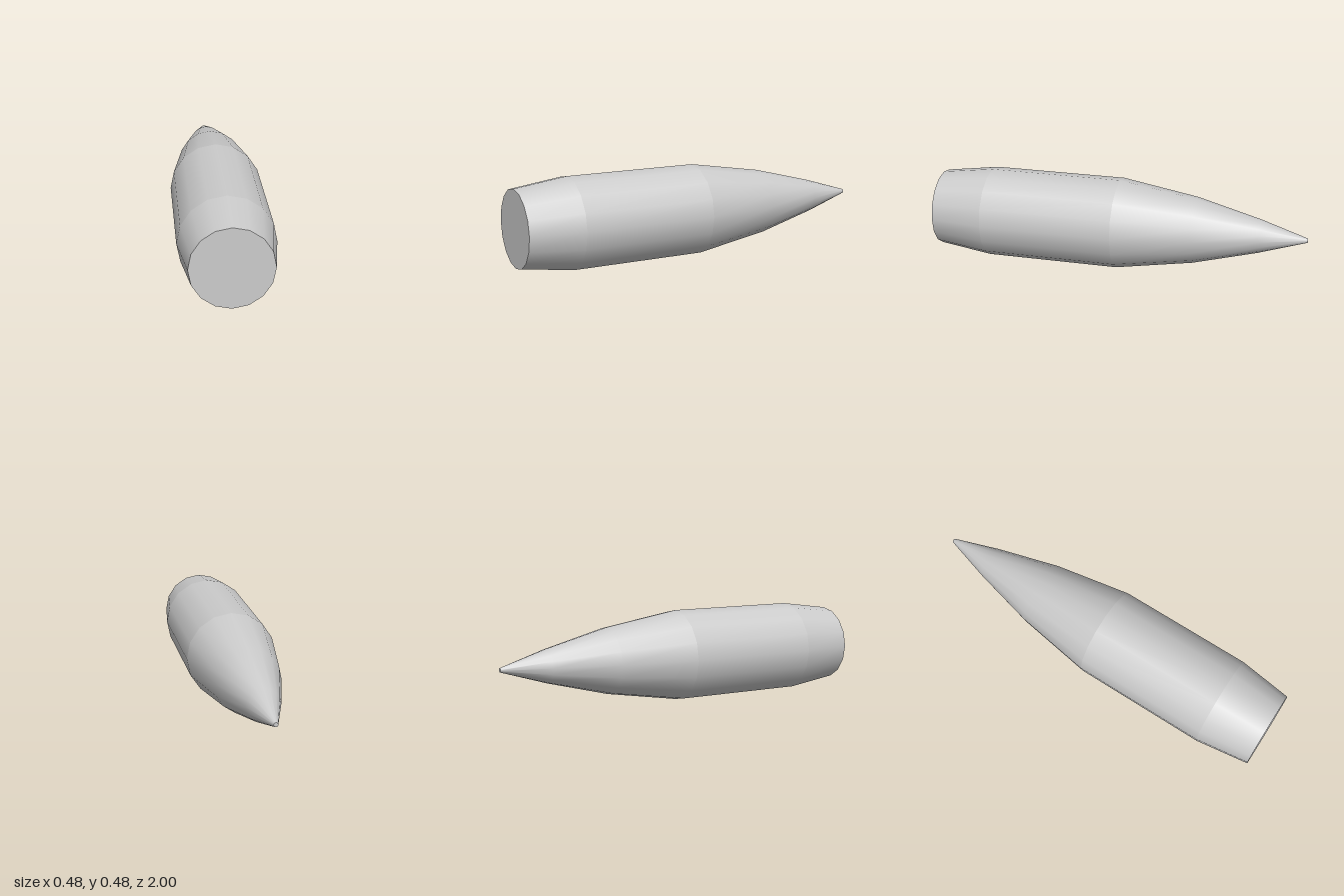
import * as THREE from 'three';

const SIDES = 16;
const RADIUS = 0.2415;

export function createModel() {
  const group = new THREE.Group();
  group.name = 'bullet';
  const material = new THREE.MeshStandardMaterial({ color: 0xcccccc });

  // Each part is turned about the long axis; profile is [radius, z], from front (+z) to tip (-z)
  const turned = (name, profile) => {
    const points = profile.map(([r, z]) => new THREE.Vector2(r, -z));
    const geometry = new THREE.LatheGeometry(points, SIDES).rotateX(-Math.PI / 2);
    const mesh = new THREE.Mesh(geometry, material);
    mesh.name = name;
    mesh.position.y = RADIUS;
    group.add(mesh);
  };

  // Separate parts keep the edges between them sharp
  turned('base', [[0, 1], [0.203, 1]]);
  turned('taperedTail', [[0.203, 1], [RADIUS, 0.715]]);
  turned('body', [[RADIUS, 0.715], [RADIUS, 0]]);
  turned('nose', [[RADIUS, 0], [0.175, -0.41], [0.088, -0.75], [0.011, -1]]);
  turned('tip', [[0.011, -1], [0, -1]]);

  return group;
}
